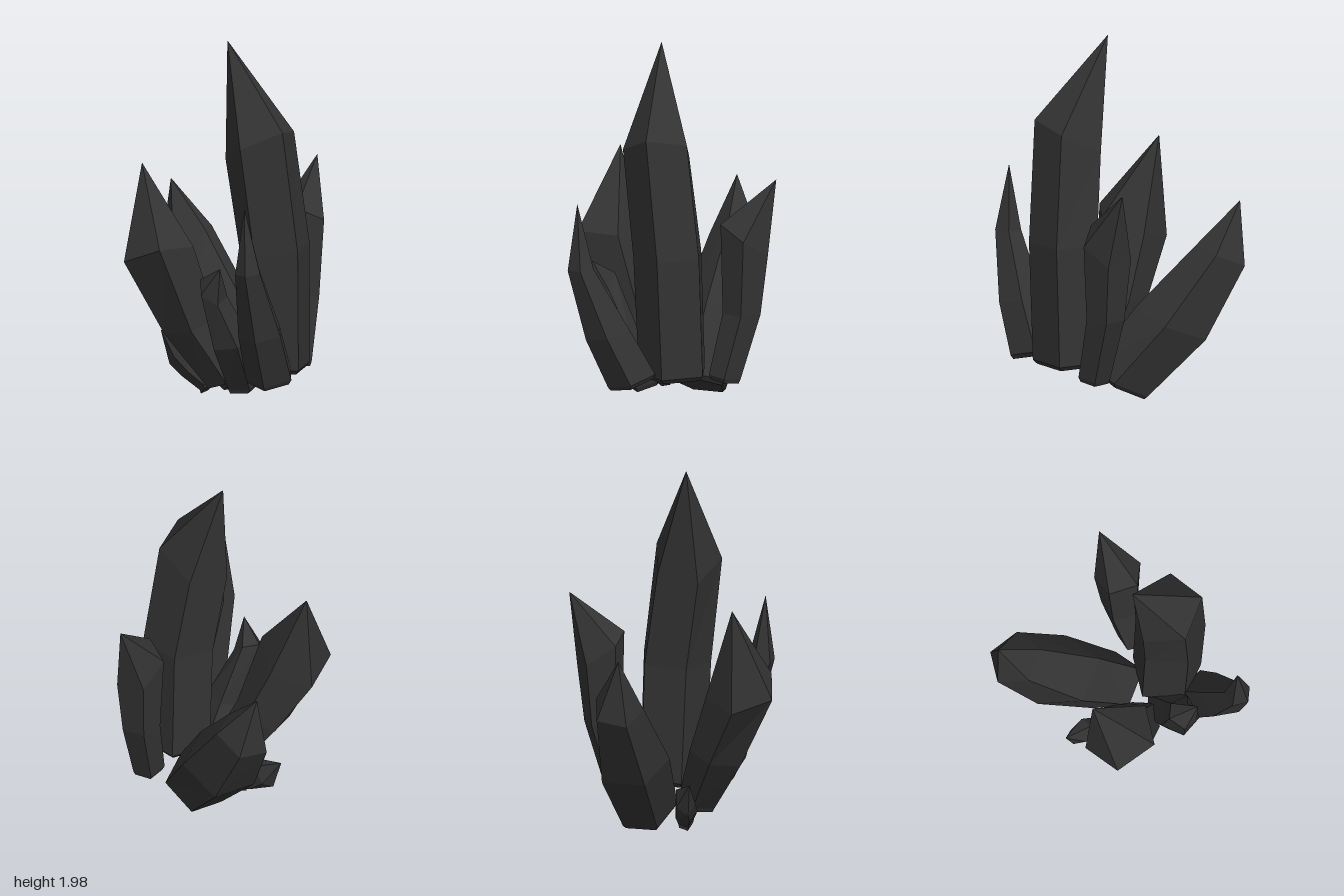
import * as THREE from 'three';

const SIDES = 5;
const material = new THREE.MeshStandardMaterial({ color: 0x333333, flatShading: true });

// Pentagonal cross-section whose plane tilts with the growth direction towards the next centre
function section(centre, next, radius, startDeg, tilt) {
  const dir = next.clone().sub(centre);
  return Array.from({ length: SIDES }, (_, i) => {
    const a = THREE.MathUtils.degToRad(startDeg) + (i / SIDES) * Math.PI * 2;
    const dx = Math.cos(a) * radius, dz = Math.sin(a) * radius;
    const dy = (-tilt * (dir.x * dx + dir.z * dz)) / dir.y;
    return centre.clone().add(new THREE.Vector3(dx, dy, dz));
  });
}

// A crystal: chamfered foot, then base, middle and shoulder sections [x, y, z, radius], then the point
function crystal(name, startDeg, base, middle, shoulder, point) {
  const rings = [base, middle, shoulder];
  const centres = [...rings, point].map(([x, y, z]) => new THREE.Vector3(x, y, z));
  const tip = centres[3];
  const loops = rings.map((ring, k) =>
    section(centres[k], centres[k + 1], ring[3], startDeg, k === 2 ? 1.3 : 0.6));

  // The foot is the base section drawn in and lowered a little
  const footCentre = centres[0].clone();
  footCentre.y -= 0.025;
  loops.unshift(loops[0].map((p) => {
    const q = p.clone().lerp(centres[0], 0.12);
    q.y -= 0.025;
    return q;
  }));

  const points = [];
  for (let i = 0; i < SIDES; i++) {
    const j = (i + 1) % SIDES;
    points.push(footCentre, loops[0][i], loops[0][j]);
    for (let k = 0; k < 3; k++) {
      const lo = loops[k], up = loops[k + 1];
      points.push(lo[i], up[i], lo[j], lo[j], up[i], up[j]);
    }
    points.push(loops[3][i], tip, loops[3][j]);
  }
  const geometry = new THREE.BufferGeometry().setFromPoints(points);
  geometry.computeVertexNormals();
  const mesh = new THREE.Mesh(geometry, material);
  mesh.name = name;
  return mesh;
}

export function createModel() {
  const group = new THREE.Group();
  group.name = 'crystalCluster';

  // Tall centre
  group.add(crystal('mainCrystal', 36,
    [0.295, 0.22, 0.03, 0.195], [0.295, 0.87, 0.055, 0.2], [0.225, 1.45, 0.1, 0.195], [0.02, 2, 0.03]));

  // Medium crystals leaning outwards
  group.add(crystal('frontCrystal', 90,
    [0.335, 0.21, 0.28, 0.135], [0.32, 0.47, 0.41, 0.125], [0.29, 0.83, 0.555, 0.074], [0.27, 1.19, 0.57]));
  group.add(crystal('sideCrystal', 0,
    [0.02, 0.15, 0.1, 0.105], [-0.155, 0.44, 0.15, 0.15], [-0.31, 0.83, 0.24, 0.198], [-0.43, 1.32, 0.14]));
  group.add(crystal('backSideCrystal', 35,
    [0.09, 0.105, -0.17, 0.165], [-0.14, 0.43, -0.335, 0.205], [-0.355, 0.8, -0.49, 0.143], [-0.455, 1.1, -0.52]));
  group.add(crystal('backCrystal', 18,
    [0.34, 0.19, -0.24, 0.09], [0.34, 0.54, -0.335, 0.108], [0.34, 0.95, -0.35, 0.135], [0.37, 1.28, -0.52]));

  // Small shards
  group.add(crystal('smallFrontCrystal', 54,
    [0.14, 0.14, 0.14, 0.1], [0.11, 0.38, 0.29, 0.112], [0.035, 0.68, 0.375, 0.08], [0.095, 0.82, 0.44]));
  group.add(crystal('smallSideCrystal', 36,
    [-0.1, 0.085, -0.015, 0.048], [-0.19, 0.15, -0.045, 0.066], [-0.28, 0.235, -0.08, 0.057], [-0.39, 0.35, -0.09]));

  return group;
}
